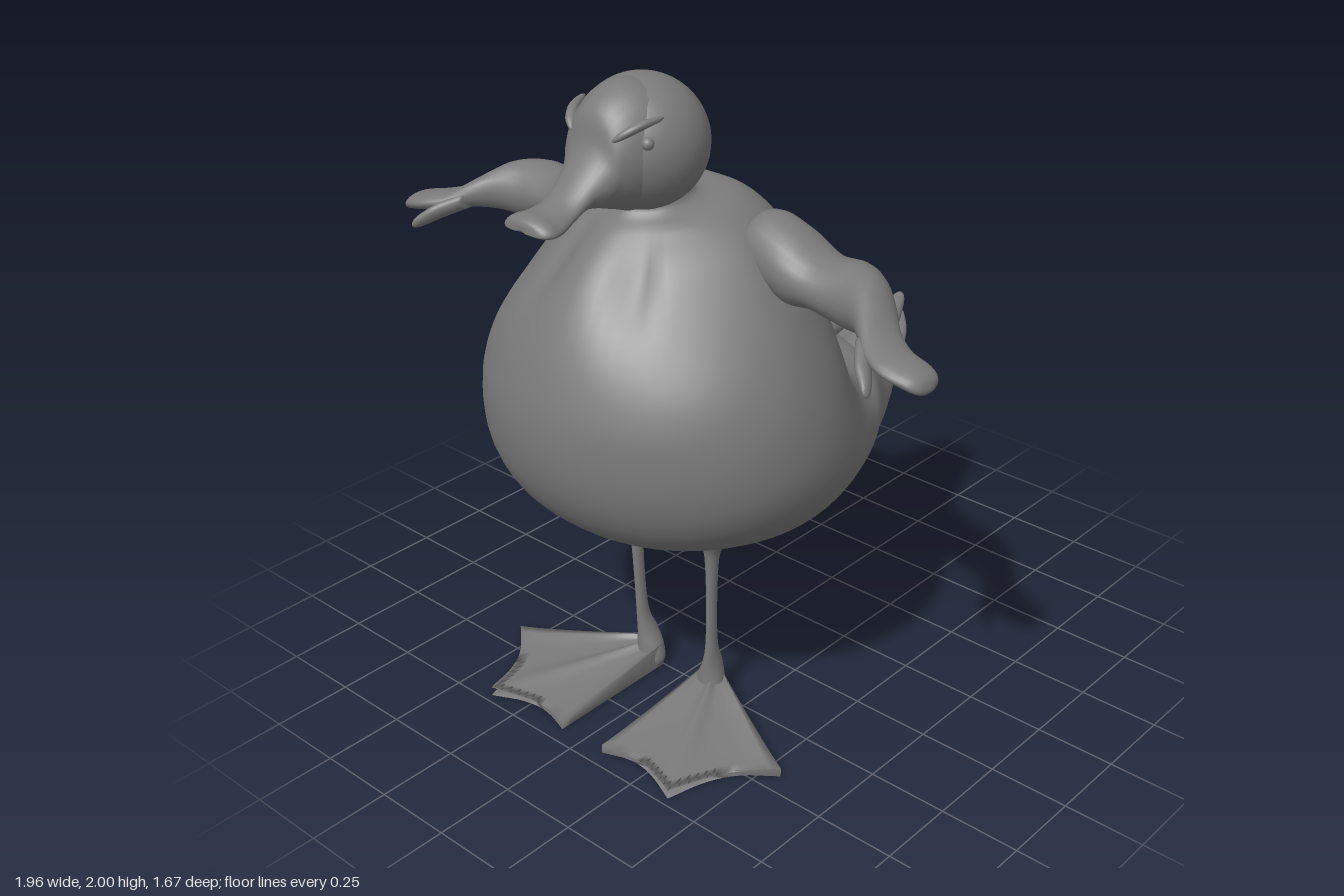
import * as THREE from 'three';

const mat = new THREE.MeshStandardMaterial({ color: 0x7a7a7a });
const V = (x, y, z) => new THREE.Vector3(x, y, z);
const bump = (d, w) => Math.exp(-((d / w) ** 2));
const { lerp, smoothstep } = THREE.MathUtils;

// Smoothly resample rows of numbers (Catmull-Rom)
function resample(rows, n) {
  const last = rows.length - 1;
  return Array.from({ length: n + 1 }, (_, i) => {
    const f = (i / n) * last, k = Math.min(Math.floor(f), last - 1), t = f - k;
    const at = (m) => rows[Math.max(0, Math.min(last, m))];
    return rows[k].map((_, j) => {
      const [a, b, c, d] = [at(k - 1)[j], at(k)[j], at(k + 1)[j], at(k + 2)[j]];
      return b + 0.5 * t * (c - a + t * (2 * a - 5 * b + 4 * c - d + t * (3 * (b - c) + d - a)));
    });
  });
}

// Skin closed rings of points into a capped surface facing outward
function loft(rings) {
  const n = rings[0].length, pts = rings.flat(), idx = [];
  for (let i = 0; i < rings.length - 1; i++)
    for (let j = 0; j < n; j++) {
      const a = i * n + j, b = i * n + ((j + 1) % n);
      idx.push(a, b, a + n, b, b + n, a + n);
    }
  for (const [r, flip] of [[0, true], [rings.length - 1, false]]) {
    const c = V(0, 0, 0);
    rings[r].forEach((p) => c.addScaledVector(p, 1 / n));
    const ci = pts.push(c) - 1;
    for (let j = 0; j < n; j++) {
      const a = r * n + j, b = r * n + ((j + 1) % n);
      idx.push(ci, flip ? b : a, flip ? a : b);
    }
  }
  let volume = 0;
  const x = V(0, 0, 0);
  for (let i = 0; i < idx.length; i += 3)
    volume += pts[idx[i]].dot(x.crossVectors(pts[idx[i + 1]], pts[idx[i + 2]]));
  if (volume < 0) idx.reverse();
  const g = new THREE.BufferGeometry().setFromPoints(pts);
  g.setIndex(idx);
  g.computeVertexNormals();
  return g;
}

// Ring of n points from a function of cosine and sine
const ring = (n, fn) => Array.from({ length: n }, (_, j) => {
  const a = (j / n) * Math.PI * 2;
  return fn(Math.cos(a), Math.sin(a));
});

function add(parent, name, geometry) {
  const m = new THREE.Mesh(geometry, mat);
  m.name = name;
  parent.add(m);
  return m;
}

// Body: sections fanning from neck to tail
// [outer z, outer y, inner z, inner y, half width, outer roundness, inner roundness]
function bodyGeometry() {
  const rows = [
    [0.45, 1.69, 0.25, 1.71, 0.1, 1, 1], [0.465, 1.63, 0.21, 1.657, 0.115, 1, 1],
    [0.53, 1.585, 0.1, 1.648, 0.22, 1.05, 0.9], [0.62, 1.505, 0.02, 1.58, 0.32, 1.1, 0.8],
    [0.715, 1.375, -0.05, 1.45, 0.415, 1.1, 0.78], [0.78, 1.225, -0.09, 1.3, 0.495, 1.1, 0.78],
    [0.81, 1.07, -0.13, 1.18, 0.545, 1.06, 0.82], [0.78, 0.88, -0.17, 1.09, 0.565, 1, 0.88],
    [0.67, 0.73, -0.22, 1.03, 0.55, 0.93, 0.92], [0.45, 0.62, -0.27, 1.0, 0.5, 0.9, 0.92],
    [0.27, 0.565, -0.32, 0.99, 0.45, 0.92, 0.9], [0.05, 0.555, -0.38, 0.98, 0.39, 1, 0.85],
    [-0.2, 0.555, -0.45, 0.95, 0.3, 1, 0.82], [-0.36, 0.6, -0.54, 0.89, 0.235, 1, 0.85],
    [-0.55, 0.71, -0.66, 0.89, 0.16, 1, 1], [-0.72, 0.82, -0.77, 0.903, 0.09, 1, 1],
    [-0.82, 0.88, -0.833, 0.9, 0.02, 1, 1],
  ];
  return loft(resample(rows, 80).map(([oz, oy, iz, iy, w, ro, ri]) => ring(64, (c, s) => {
    const p = V(w * Math.sign(s) * Math.abs(s) ** (c > 0 ? ro : ri),
      (oy + iy) / 2 + (c * (oy - iy)) / 2, (oz + iz) / 2 + (c * (oz - iz)) / 2);
    if (c > 0) {
      // Narrow throat with a spreading hollow on each side
      p.x *= 1 - 0.26 * c * smoothstep(p.y, 1.2, 1.5) * (1 - smoothstep(p.y, 1.58, 1.65));
      p.z -= 0.045 * bump(Math.abs(p.x) - 0.11 - 0.4 * (1.56 - p.y), 0.05) * bump(p.y - 1.49, 0.11) * c;
    } else {
      // Furrow down the back
      p.z -= 0.03 * bump(p.x, 0.07) * bump(p.y - 1.48, 0.17) * c;
    }
    return p;
  })));
}

// Tapered limb from sections [x, y, z, half a, half b] lying across the given axis
function limb(rows, axis, side, steps = 40) {
  return loft(resample(rows, steps).map(([x, y, z, a, b]) => ring(24, (c, s) =>
    axis === 'x' ? V(side * x, y + a * c, z + b * s)
      : axis === 'y' ? V(side * (x + a * c), y, z + b * s)
        : V(side * (x + a * c), y + b * s, z))));
}

// Webbed foot: three toe tips joined by shallow curved webs
function footGeometry(side) {
  const tips = [[0.085, 0.7], [0.375, 0.725], [0.555, 0.435]];
  const n = 24, rings = [];
  for (let i = 0; i <= 12; i++) {
    const t = i / 12, top = [], bottom = [];
    for (let j = 0; j <= n; j++) {
      const u = (j / n) * 2, k = Math.min(Math.floor(u), 1), f = u - k;
      const pull = 1 - 0.08 * Math.sin(f * Math.PI);
      const ex = lerp(tips[k][0], tips[k + 1][0], f), ez = lerp(tips[k][1], tips[k + 1][1], f);
      const hx = 0.088 + 0.042 * u, hz = 0.25;
      const x = side * (hx + (ex - hx) * t * pull), z = hz + (ez - hz) * t * pull;
      const ridge = Math.abs(Math.cos(f * Math.PI)) ** 6;
      top.push(V(x, 0.02 + 0.045 * (1 - t) ** 1.4 + 0.014 * ridge * (1 - 0.4 * t), z));
      bottom.unshift(V(x, 0.006 * (1 - ridge), z));
    }
    rings.push([...top, ...bottom]);
  }
  return loft(rings);
}

export function createModel() {
  const root = new THREE.Group();
  root.name = 'duck';
  add(root, 'body', bodyGeometry());

  // Head, with forehead and beak in one piece
  const head = new THREE.Group();
  head.name = 'headGroup';
  root.add(head);
  const skull = add(head, 'head', new THREE.SphereGeometry(1, 40, 28));
  skull.scale.set(0.187, 0.187, 0.187);
  skull.position.set(0, 1.81, 0.383);
  const beak = [ // z, top, bottom, half width
    [0.36, 1.985, 1.66, 0.15], [0.45, 1.997, 1.635, 0.15], [0.52, 1.97, 1.655, 0.13],
    [0.565, 1.925, 1.67, 0.106], [0.59, 1.845, 1.677, 0.09],
    [0.64, 1.78, 1.685, 0.07], [0.7, 1.735, 1.672, 0.066], [0.76, 1.72, 1.664, 0.081],
    [0.8, 1.72, 1.667, 0.087], [0.825, 1.712, 1.676, 0.066], [0.833, 1.698, 1.688, 0.02],
  ];
  add(head, 'beak', loft(resample(beak, 50).map(([z, t, b, w]) => ring(28, (c, s) => {
    const droop = 0.014 * c * c * smoothstep(z, 0.62, 0.76);
    return V(w * c, (t + b) / 2 + (s * (t - b)) / 2 - droop, z);
  }))));

  for (const side of [1, -1]) {
    const label = side > 0 ? 'left' : 'right';

    // Eye and slanted brow
    const eye = add(head, label + 'Eye', new THREE.SphereGeometry(0.018, 16, 12));
    eye.position.set(side * 0.133, 1.86, 0.498);
    const brow = new THREE.CatmullRomCurve3([
      V(side * 0.072, 1.87, 0.568), V(side * 0.099, 1.89, 0.547),
      V(side * 0.126, 1.91, 0.508), V(side * 0.147, 1.922, 0.45)]);
    add(head, label + 'Brow', loft(Array.from({ length: 17 }, (_, i) => {
      const p = brow.getPoint(i / 16), r = 0.003 + 0.011 * Math.sin((i / 16) * Math.PI) ** 0.5;
      return ring(12, (c, s) => V(p.x + side * 0.6 * r * c, p.y + r * s, p.z + r * c));
    })));

    // Wing arm with mitten hand and thumb
    add(root, label + 'Arm', limb([
      [0.24, 1.53, 0.21, 0.04, 0.04], [0.27, 1.53, 0.205, 0.09, 0.085],
      [0.32, 1.525, 0.2, 0.108, 0.103], [0.41, 1.5, 0.205, 0.105, 0.11],
      [0.5, 1.48, 0.205, 0.077, 0.102], [0.6, 1.472, 0.207, 0.09, 0.098],
      [0.68, 1.475, 0.245, 0.077, 0.088], [0.74, 1.462, 0.295, 0.052, 0.085],
      [0.8, 1.44, 0.35, 0.032, 0.08], [0.87, 1.425, 0.388, 0.028, 0.072],
      [0.94, 1.408, 0.39, 0.027, 0.063], [0.97, 1.395, 0.388, 0.021, 0.045],
      [0.98, 1.389, 0.387, 0.006, 0.012]], 'x', side, 60));
    add(root, label + 'Thumb', limb([
      [0.75, 1.445, 0.36, 0.025, 0.04], [0.8, 1.42, 0.43, 0.026, 0.036],
      [0.835, 1.396, 0.465, 0.023, 0.027], [0.856, 1.38, 0.485, 0.017, 0.019],
      [0.866, 1.372, 0.494, 0.004, 0.005]], 'x', side, 20));

    // Leg, heel and foot
    add(root, label + 'Leg', limb([
      [0.165, 0.64, 0.29, 0.08, 0.07], [0.163, 0.57, 0.29, 0.038, 0.036],
      [0.157, 0.51, 0.288, 0.02, 0.024], [0.152, 0.35, 0.285, 0.014, 0.02],
      [0.146, 0.2, 0.28, 0.016, 0.023], [0.138, 0.125, 0.268, 0.027, 0.036],
      [0.13, 0.075, 0.265, 0.042, 0.041], [0.128, 0.03, 0.266, 0.05, 0.042],
      [0.128, 0.005, 0.268, 0.042, 0.036]], 'y', side));
    add(root, label + 'Foot', footGeometry(side));

    // Upper tail feather rising out of the rump
    add(root, label + 'TailFeather', limb([
      [0.12, 0.83, -0.24, 0.05, 0.04], [0.12, 0.865, -0.34, 0.075, 0.07],
      [0.115, 0.9, -0.45, 0.083, 0.066], [0.09, 0.933, -0.6, 0.058, 0.045],
      [0.06, 0.972, -0.72, 0.032, 0.025], [0.05, 0.988, -0.76, 0.016, 0.013],
      [0.048, 0.99, -0.768, 0.004, 0.004]], 'z', side));
  }
  return root;
}
